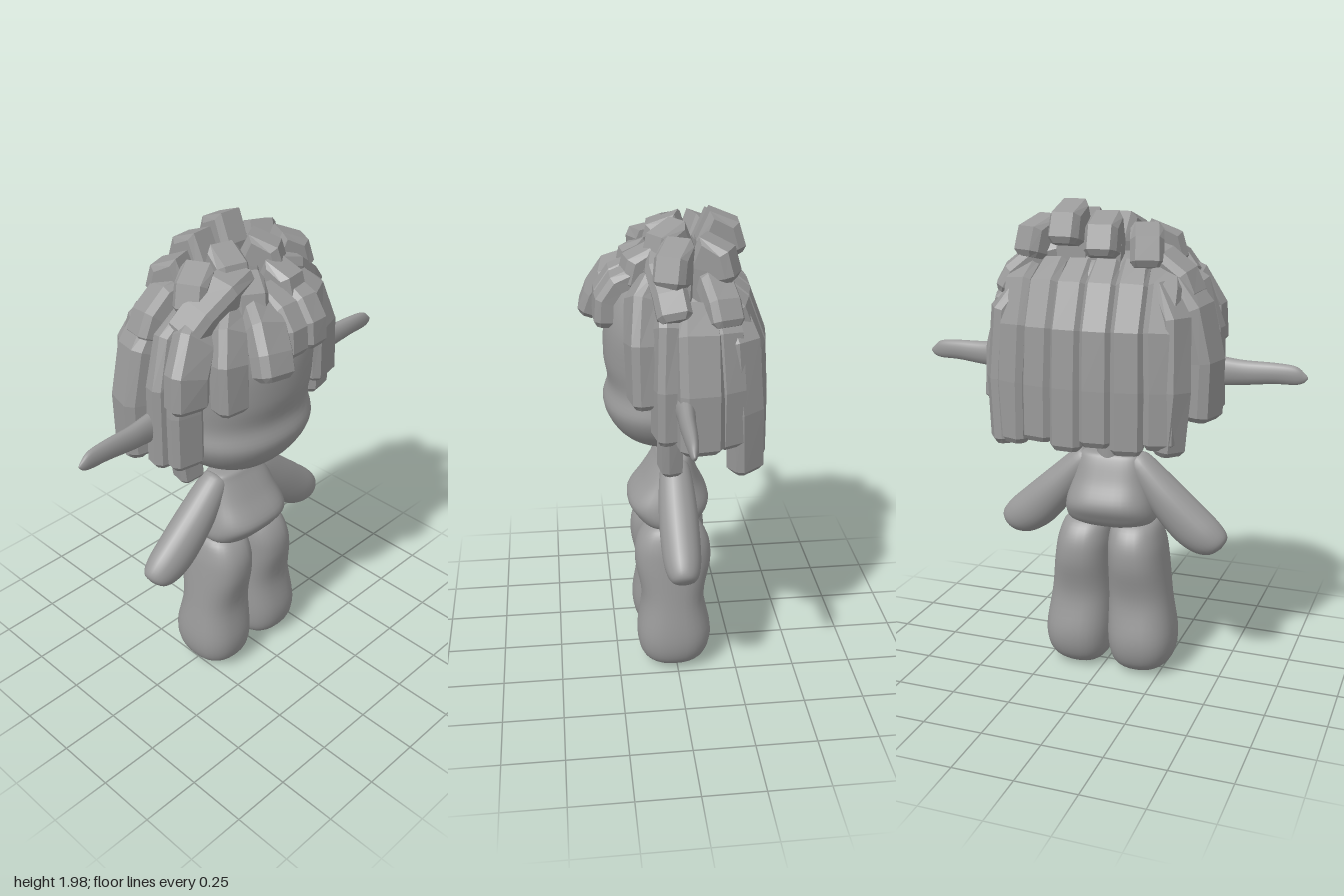
import * as THREE from 'three';

const V = (x, y, z) => new THREE.Vector3(x, y, z);
const CX = -0.018; // body centre line

// Catmull-Rom refinement of section rows [x, y, z, halfWidth, halfDepth]
function refine(rows, steps = 5) {
  const out = [];
  for (let i = 0; i < rows.length - 1; i++) {
    const q = [-1, 0, 1, 2].map(k => rows[Math.min(Math.max(i + k, 0), rows.length - 1)]);
    for (let s = 0; s < steps; s++) {
      const t = s / steps;
      out.push(rows[0].map((_, c) => {
        const [a, b, d, e] = q.map(r => r[c]);
        return 0.5 * (2 * b + (d - a) * t + (2 * a - 5 * b + 4 * d - e) * t * t + (3 * b - a - 3 * d + e) * t ** 3);
      }));
    }
  }
  out.push(rows[rows.length - 1]);
  return out;
}

// Sweep a closed profile through section rows; axis is fixed, or follows the path when null
function sweep(rows, profile, upAt, axis) {
  const pos = [], idx = [], n = profile.length, m = rows.length;
  const P = rows.map(r => V(r[0], r[1], r[2]));
  P.forEach((p, i) => {
    const t = axis ? axis.clone().normalize()
      : P[Math.min(i + 1, m - 1)].clone().sub(P[Math.max(i - 1, 0)]).normalize();
    const v = upAt(p);
    v.addScaledVector(t, -v.dot(t)).normalize();
    const u = v.clone().cross(t);
    for (const [a, b] of profile) {
      const q = p.clone().addScaledVector(u, a * rows[i][3]).addScaledVector(v, b * rows[i][4]);
      pos.push(q.x, q.y, q.z);
    }
  });
  for (let i = 0; i < m - 1; i++) {
    for (let j = 0; j < n; j++) {
      const k = (j + 1) % n, a = i * n + j, b = i * n + k;
      idx.push(a, b, b + n, a, b + n, a + n);
    }
  }
  const s = m * n, e = s + 1, last = (m - 1) * n;
  pos.push(...P[0].toArray(), ...P[m - 1].toArray());
  for (let j = 0; j < n; j++) {
    const k = (j + 1) % n;
    idx.push(s, k, j, e, last + j, last + k);
  }
  const g = new THREE.BufferGeometry();
  g.setAttribute('position', new THREE.Float32BufferAttribute(pos, 3));
  g.setIndex(idx);
  g.computeVertexNormals();
  return g;
}

// Rounded section (power 2 is an ellipse, more is squarer)
function oval(power = 2, n = 32) {
  return Array.from({ length: n }, (_, i) => {
    const a = i / n * Math.PI * 2, f = x => Math.sign(x) * Math.abs(x) ** (2 / power);
    return [f(Math.cos(a)), f(Math.sin(a))];
  });
}

const back = () => V(0, 0, -1);
const Y = V(0, 1, 0);
const lockProfile = [[1, -1], [1, 0.35], [0.7, 1], [-0.7, 1], [-1, 0.35], [-1, -1]];

// Faceted hair lock with a bevelled tip
function lockGeometry(points, w, d, upAt) {
  const rows = points.map((p, i) => [...p, i === 0 ? w * 0.85 : w, d]);
  const a = rows[rows.length - 2], b = rows[rows.length - 1];
  const len = Math.hypot(b[0] - a[0], b[1] - a[1], b[2] - a[2]), k = 0.022 / len;
  const tip = [0, 1, 2].map(c => b[c] + (b[c] - a[c]) * k);
  rows.push([...tip, w * 0.75, d * 0.6]);
  const g = sweep(rows, lockProfile, upAt, null).toNonIndexed();
  g.computeVertexNormals();
  return g;
}

export function createModel() {
  const model = new THREE.Group();
  const grey = new THREE.MeshStandardMaterial({ color: 0x999999 });
  grey.name = 'grey';
  const add = (name, geometry, parent = model) => {
    const mesh = new THREE.Mesh(geometry, grey);
    mesh.name = name;
    parent.add(mesh);
    return mesh;
  };

  // Head with full cheeks
  add('head', sweep(refine([
    [CX, 1.03, 0, 0.08, 0.06], [CX, 1.05, 0.02, 0.17, 0.15], [CX, 1.11, 0.015, 0.26, 0.225],
    [CX, 1.2, 0.02, 0.31, 0.26], [CX, 1.29, 0.01, 0.305, 0.25], [CX, 1.4, 0.005, 0.315, 0.27],
    [CX, 1.55, 0, 0.33, 0.265], [CX, 1.68, 0, 0.29, 0.22], [CX, 1.78, 0, 0.18, 0.14], [CX, 1.81, 0, 0.03, 0.03],
  ]), oval(2.2, 40), back, Y));

  // Neck and torso
  const neck = add('neck', new THREE.CylinderGeometry(0.06, 0.06, 0.12, 24));
  neck.position.set(CX, 1.0, -0.01);
  add('torso', sweep(refine([
    [CX, 0.655, 0.015, 0.12, 0.07], [CX, 0.662, 0.015, 0.17, 0.11], [CX, 0.7, 0.018, 0.195, 0.145],
    [CX, 0.76, 0.02, 0.19, 0.17], [CX, 0.85, 0.01, 0.165, 0.12], [CX, 0.93, 0, 0.145, 0.08],
    [CX, 0.962, 0, 0.125, 0.06], [CX, 0.968, 0, 0.06, 0.03],
  ]), oval(2.7, 36), back, Y));

  // Limbs and ears on both sides
  for (const s of [1, -1]) {
    const side = s > 0 ? 'left' : 'right';
    const place = (rows, centre) => refine(rows.map(([x, ...r]) => [centre + s * x, ...r]));
    add(side + 'Arm', sweep(place([
      [0.1, 0.945, 0, 0.02, 0.03], [0.115, 0.925, 0, 0.055, 0.06], [0.22, 0.805, 0, 0.08, 0.078],
      [0.33, 0.693, 0, 0.092, 0.08], [0.41, 0.63, 0, 0.084, 0.072], [0.46, 0.6, 0, 0.055, 0.05], [0.472, 0.59, 0, 0.01, 0.01],
    ], CX), oval(2, 24), back, V(s * 0.72, -0.69, 0)));
    add(side + 'Leg', sweep(place([
      [0.13, 0.01, 0.01, 0.03, 0.04], [0.133, 0.02, 0.01, 0.085, 0.09], [0.14, 0.07, 0.01, 0.13, 0.14],
      [0.141, 0.17, 0.008, 0.145, 0.158], [0.129, 0.34, 0.012, 0.133, 0.133], [0.119, 0.5, 0.01, 0.122, 0.16],
      [0.111, 0.6, 0.01, 0.113, 0.15], [0.105, 0.67, 0.01, 0.088, 0.1], [0.105, 0.69, 0.01, 0.02, 0.02],
    ], CX), oval(2.4, 28), back, Y));
    add(side + 'Ear', sweep(place([
      [0.28, 1.34, 0, 0.075, 0.05], [0.46, 1.337, 0, 0.06, 0.035], [0.56, 1.335, 0.005, 0.05, 0.03],
      [0.68, 1.34, 0.008, 0.042, 0.025], [0.76, 1.337, 0.01, 0.037, 0.018], [0.795, 1.33, 0.012, 0.02, 0.01], [0.81, 1.33, 0.012, 0.003, 0.003],
    ], 0), oval(2, 16), back, V(s, 0, 0)));
  }

  // Scalp under the locks
  const hair = new THREE.Group();
  hair.name = 'hair';
  model.add(hair);
  const scalp = add('scalp', new THREE.SphereGeometry(1, 24, 8, 0, Math.PI * 2, 0, Math.PI / 2), hair);
  scalp.scale.set(0.36, 0.29, 0.26);
  scalp.position.set(-0.01, 1.52, -0.05);

  // Directions the broad faces of the locks turn to
  const outward = p => V(p.x, (p.y - 1.35) * 0.8, p.z);
  const forward = p => V(p.x * 0.15, (p.y - 1.35) * 0.4, 0.3);
  const backward = p => V(p.x * 0.35, (p.y - 1.35) * 0.8, p.z);
  const lock = (name, facing, w, d, ...points) => add(name, lockGeometry(points, w, d, facing), hair);

  // Fringe
  lock('fringeLock', forward, 0.08, 0.04, [-0.05, 1.76, 0.14], [-0.1, 1.71, 0.25], [-0.12, 1.63, 0.3], [-0.13, 1.56, 0.325]);
  for (const x of [0.015, 0.12])
    lock('fringeLock', forward, 0.055, 0.035, [x, 1.78, 0.12], [x, 1.735, 0.23], [x, 1.67, 0.275], [x, 1.59, 0.28]);
  lock('fringeLock', forward, 0.068, 0.04, [-0.15, 1.74, 0.12], [-0.21, 1.7, 0.18], [-0.245, 1.6, 0.21], [-0.245, 1.42, 0.215]);
  lock('templeLock', forward, 0.08, 0.04, [-0.2, 1.74, 0.06], [-0.32, 1.68, 0.11], [-0.38, 1.57, 0.13], [-0.385, 1.45, 0.13]);
  lock('templeLock', forward, 0.075, 0.04, [0.19, 1.76, 0.1], [0.24, 1.7, 0.15], [0.3, 1.55, 0.16], [0.315, 1.33, 0.155]);

  // Side locks
  lock('sideLock', outward, 0.085, 0.045, [0.3, 1.68, -0.06], [0.39, 1.6, -0.06], [0.445, 1.4, -0.06], [0.455, 1.19, -0.06]);
  lock('sideLock', forward, 0.065, 0.035, [0.24, 1.72, 0.06], [0.34, 1.62, 0.07], [0.38, 1.4, 0.075], [0.38, 1.21, 0.075]);
  lock('sideLock', outward, 0.06, 0.045, [0.26, 1.71, -0.14], [0.37, 1.6, -0.16], [0.405, 1.4, -0.17], [0.4, 1.19, -0.17]);
  lock('sideLock', outward, 0.07, 0.04, [0.28, 1.68, -0.18], [0.36, 1.57, -0.22], [0.375, 1.3, -0.24], [0.36, 1.06, -0.25]);
  lock('sideLock', forward, 0.05, 0.04, [0.29, 1.42, 0.03], [0.28, 1.2, 0.04], [0.25, 1.01, 0.04]);
  lock('sideLock', outward, 0.08, 0.05, [-0.32, 1.7, -0.13], [-0.4, 1.6, -0.13], [-0.445, 1.4, -0.13], [-0.44, 1.19, -0.13]);
  lock('sideLock', forward, 0.075, 0.035, [-0.23, 1.74, 0.02], [-0.35, 1.66, 0.03], [-0.4, 1.5, 0.04], [-0.405, 1.19, 0.04]);
  lock('sideLock', forward, 0.07, 0.035, [-0.28, 1.68, 0.08], [-0.36, 1.58, 0.09], [-0.375, 1.4, 0.1], [-0.375, 1.19, 0.1]);
  lock('sideLock', outward, 0.06, 0.04, [-0.28, 1.69, -0.2], [-0.35, 1.57, -0.23], [-0.36, 1.3, -0.25], [-0.34, 1.07, -0.25]);
  lock('sideLock', forward, 0.055, 0.04, [-0.29, 1.42, -0.02], [-0.28, 1.2, -0.02], [-0.25, 1.01, -0.02]);

  // Long curtain at the back
  for (let i = 0; i < 6; i++) {
    const x = -0.3 + i * 0.117, c = 0.55 * x * x, drop = i % 2 ? 0.025 : 0;
    lock('backLock', backward, 0.063, 0.035, [x * 0.92, 1.75, -0.17 + c], [x, 1.68, -0.26 + c],
      [x, 1.52, -0.32 + c], [x * 1.03, 1.3, -0.332 + c], [x * 1.03, 1.1 - drop, -0.334 + c]);
  }

  // Swept locks below the crown
  lock('sweptLock', outward, 0.075, 0.045, [-0.06, 1.84, 0.07], [-0.17, 1.83, 0.09], [-0.27, 1.77, 0.08], [-0.33, 1.7, 0.06]);
  lock('sweptLock', outward, 0.065, 0.045, [0.1, 1.83, 0.05], [0.22, 1.8, 0.06], [0.31, 1.73, 0.04], [0.36, 1.67, 0.03]);
  lock('sweptLock', outward, 0.065, 0.04, [0.16, 1.8, -0.1], [0.27, 1.77, -0.13], [0.34, 1.71, -0.15], [0.37, 1.65, -0.16]);
  lock('sweptLock', outward, 0.065, 0.04, [-0.16, 1.81, -0.1], [-0.27, 1.78, -0.12], [-0.35, 1.72, -0.12], [-0.38, 1.65, -0.12]);

  // Upright crown locks with curled tips: x, z, peak height, outward bend in x and z
  const crown = [
    [-0.2, -0.12, 1.92, -0.02, -0.06], [-0.05, -0.16, 1.96, -0.005, -0.07], [0.09, -0.15, 2.0, 0.005, -0.07],
    [0.23, -0.11, 1.94, 0.03, -0.06], [-0.21, 0.0, 1.92, -0.06, 0.03], [-0.07, 0.0, 1.95, -0.02, 0.07],
    [0.09, 0.01, 1.96, 0.04, 0.06], [0.24, 0.01, 1.93, 0.06, 0.03], [0.1, 0.11, 1.88, 0.01, 0.06], [-0.06, 0.11, 1.87, -0.03, 0.05],
  ];
  for (const [x, z, y, dx, dz] of crown) {
    const away = p => V(p.x - x - dx * 0.2, p.y - y + 0.2, p.z - z - dz * 0.2);
    lock('crownLock', away, 0.064, 0.045,
      [x - dx * 0.4, 1.62, z - dz * 0.4], [x - dx * 0.4, y - 0.12, z - dz * 0.4],
      [x, y - 0.045, z], [x + dx * 0.7, y - 0.075, z + dz * 0.7], [x + dx, y - 0.15, z + dz]);
  }
  return model;
}
